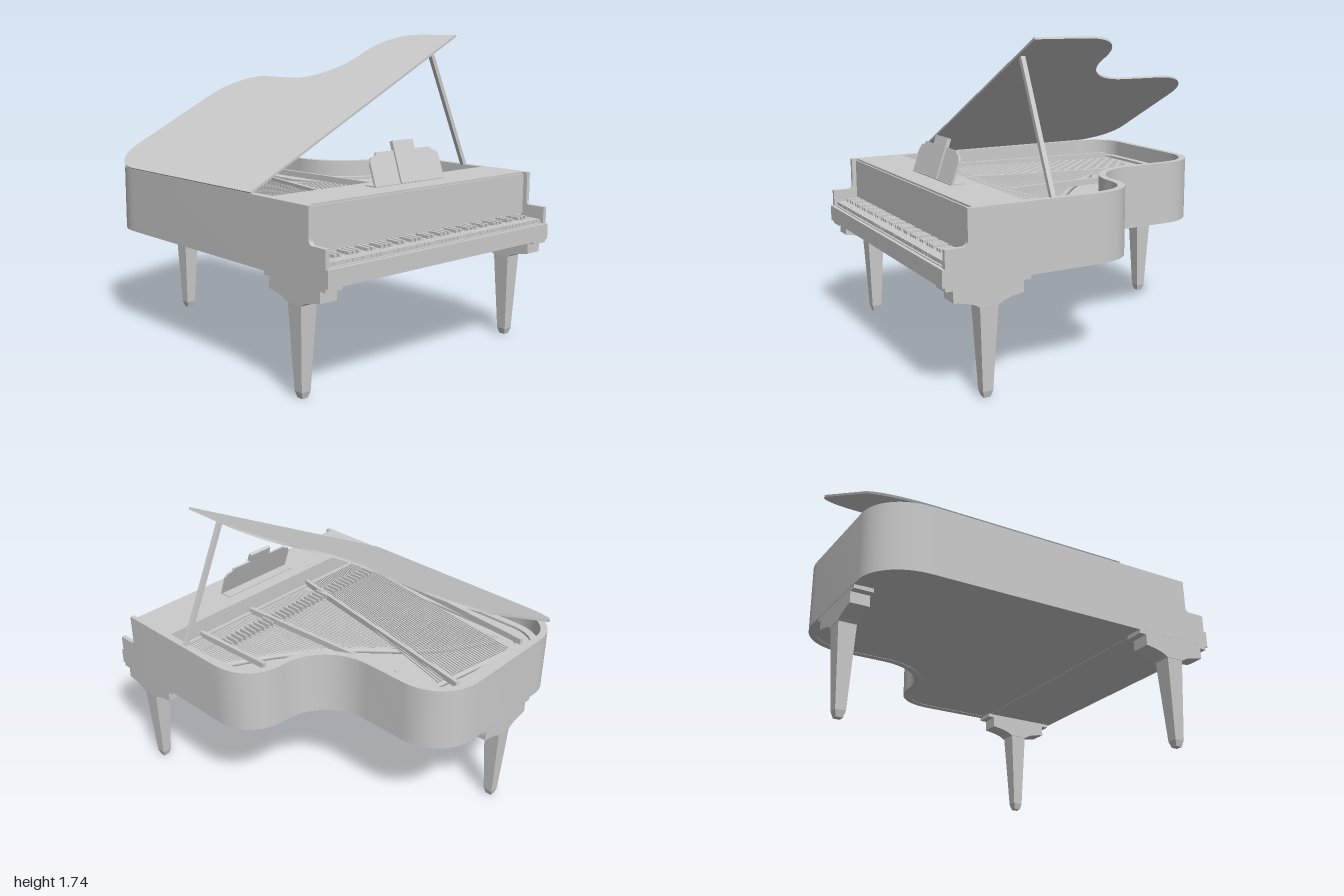
import * as THREE from 'three';
import { mergeGeometries, toCreasedNormals } from 'three/addons/utils/BufferGeometryUtils.js';

const grey = new THREE.MeshStandardMaterial({ color: 0xcccccc });
const V = (x, y, z) => new THREE.Vector3(x, y, z);

function part(parent, name, geometry) {
  const mesh = new THREE.Mesh(geometry, grey);
  mesh.name = name;
  parent.add(mesh);
  return mesh;
}

// Box given by its limits on each axis
function block(x0, x1, y0, y1, z0, z1) {
  return new THREE.BoxGeometry(x1 - x0, y1 - y0, z1 - z0)
    .translate((x0 + x1) / 2, (y0 + y1) / 2, (z0 + z1) / 2);
}

// Square bar between two points
function beam(a, b, w, h = w) {
  const o = new THREE.Object3D();
  o.position.copy(a).lerp(b, 0.5);
  o.lookAt(b);
  o.updateMatrix();
  return new THREE.BoxGeometry(w, h, a.distanceTo(b)).applyMatrix4(o.matrix);
}

// Plan outline of the curved case, drawn as (x, -z), with its front edge at zFront
function outline(zFront) {
  const s = new THREE.Shape();
  s.moveTo(-0.83, -zFront);
  s.lineTo(0.83, -zFront);
  s.lineTo(0.83, -0.13);
  s.bezierCurveTo(0.83, 0.03, 0.74, 0.14, 0.57, 0.14);
  s.bezierCurveTo(0.4, 0.14, 0.26, 0.28, 0.26, 0.46);
  s.lineTo(0.26, 0.72);
  s.bezierCurveTo(0.26, 0.88, 0.14, 1, -0.02, 1);
  s.lineTo(-0.6, 1);
  s.bezierCurveTo(-0.73, 1, -0.83, 0.88, -0.83, 0.72);
  const pts = s.getPoints(16);
  return pts.filter((p, i) => p.distanceTo(pts[(i + 1) % pts.length]) > 1e-5);
}

// Outline moved inward by d, keeping its front edge at zFront
function inset(zFront, d) {
  const pts = outline(zFront + d), n = pts.length;
  const normal = (a, b) => new THREE.Vector2(a.y - b.y, b.x - a.x).normalize();
  return pts.map((p, i) => {
    const n1 = normal(pts[(i + n - 1) % n], p), n2 = normal(p, pts[(i + 1) % n]);
    return p.clone().addScaledVector(n1.clone().add(n2), d / (1 + n1.dot(n2)));
  });
}

// Horizontal slab from plan points with optional holes
function slab(points, y0, y1, holes = []) {
  const s = new THREE.Shape(points);
  s.holes = holes.map(h => new THREE.Path(h));
  const g = new THREE.ExtrudeGeometry(s, { depth: y1 - y0, bevelEnabled: false });
  return toCreasedNormals(g.rotateX(-Math.PI / 2).translate(0, y0, 0), 0.5);
}

// Tapered square leg with a stepped bracket lying along x
function leg(name, x, z, turn) {
  const g = new THREE.Group();
  g.name = name;
  const s = new THREE.Shape();
  s.moveTo(-0.23, 0.605);
  s.lineTo(-0.23, 0.58);
  s.lineTo(-0.19, 0.58);
  s.lineTo(-0.19, 0.52);
  s.quadraticCurveTo(-0.08, 0.505, -0.055, 0.48);
  s.lineTo(0.055, 0.48);
  s.quadraticCurveTo(0.08, 0.505, 0.19, 0.52);
  s.lineTo(0.19, 0.58);
  s.lineTo(0.23, 0.58);
  s.lineTo(0.23, 0.605);
  part(g, 'legBracket', new THREE.ExtrudeGeometry(s, { depth: 0.105, bevelEnabled: false, curveSegments: 6 })
    .translate(0, 0, -0.0525));
  const taper = (top, bottom, y0, y1) =>
    new THREE.CylinderGeometry(top * Math.SQRT2, bottom * Math.SQRT2, y1 - y0, 4).toNonIndexed()
      .rotateY(Math.PI / 4).translate(0, (y0 + y1) / 2, 0);
  for (const [n, ...a] of [['legShaft', 0.05, 0.028, 0.035, 0.49], ['legFoot', 0.028, 0.018, 0, 0.035]]) {
    const shaft = taper(...a);
    shaft.computeVertexNormals();
    part(g, n, shaft);
  }
  g.position.set(x, 0, z);
  g.rotation.y = turn;
  return g;
}

export function createModel() {
  const piano = new THREE.Group();
  piano.name = 'grandPiano';

  // Case
  part(piano, 'caseRim', slab(outline(0.83), 0.6, 0.97, [inset(0.54, 0.04)]));
  part(piano, 'caseFloor', slab(inset(0.55, 0.03), 0.602, 0.63));
  part(piano, 'soundboard', slab(inset(0.55, 0.03), 0.8, 0.82));

  // Cast plate: a belt around the strings pierced by round holes
  const belt = inset(0.54, 0.085);
  const holes = [[0.69, -0.05], [0.61, 0.02], [0.5, 0.05], [0.37, 0.12], [0.26, 0.22], [0.19, 0.33], [0.16, 0.48]]
    .map(([x, y]) => new THREE.Path().absarc(x, y, 0.028, 0, Math.PI * 2, true).getPoints(8).slice(0, -1));
  const window_ = inset(0.42, 0.17);
  part(piano, 'plate', slab(inset(0.535, 0.042), 0.845, 0.86, [window_, ...holes]));
  part(piano, 'plateLip', slab(inset(0.535, 0.042), 0.86, 0.875, [belt.map(p => p.clone().multiplyScalar(1)).map(p =>
    p.y < -0.5 ? new THREE.Vector2(p.x, -0.515) : p)]));

  // Plate struts
  const struts = [[-0.75, 0.53, -0.62, -0.86], [-0.28, 0.53, -0.02, -0.86], [0.2, 0.53, 0.13, -0.55], [0.58, 0.53, 0.56, 0.02]];
  part(piano, 'plateStruts', mergeGeometries(struts.map(([x0, z0, x1, z1]) =>
    beam(V(x0, 0.885, z0), V(x1, 0.885, z1), 0.022, 0.035))));

  // Bridges and strings
  const longBridge = new THREE.CatmullRomCurve3([V(-0.6, 0.835, -0.72), V(-0.25, 0.835, -0.5),
    V(0.08, 0.835, -0.15), V(0.4, 0.835, 0.1), V(0.66, 0.835, 0.24)]);
  const bassBridge = new THREE.LineCurve3(V(-0.52, 0.85, -0.84), V(0.02, 0.85, -0.76));
  part(piano, 'longBridge', new THREE.TubeGeometry(longBridge, 24, 0.018, 6));
  part(piano, 'bassBridge', new THREE.TubeGeometry(bassBridge, 1, 0.018, 6));
  const strings = [];
  for (let i = 0; i < 64; i++) {
    const t = i / 63;
    strings.push(beam(V(-0.22 + 0.92 * t, 0.868, 0.5), longBridge.getPoint(t).setY(0.862), 0.004));
  }
  for (let i = 0; i < 32; i++) {
    const t = i / 31;
    strings.push(beam(V(-0.72 + 0.4 * t, 0.882, 0.5), bassBridge.getPoint(t).setY(0.878), 0.006));
  }
  part(piano, 'strings', mergeGeometries(strings));

  // Dampers
  const dampers = [];
  for (let i = 0; i < 36; i++) {
    const x = -0.68 + i * 0.035;
    dampers.push(block(x - 0.005, x + 0.005, 0.875, 0.905, 0.3, 0.39));
  }
  part(piano, 'dampers', mergeGeometries(dampers));

  // Keyboard
  part(piano, 'keyBed', block(-0.82, 0.82, 0.6, 0.695, 0.8, 0.98));
  part(piano, 'keySlip', block(-0.83, 0.83, 0.6, 0.69, 0.97, 1));
  const white = [], black = [], pitch = 1.6 / 52;
  for (let i = 0; i < 52; i++) {
    const x = -0.8 + i * pitch;
    white.push(block(x + 0.001, x + pitch - 0.001, 0.69, 0.715, 0.82, 0.968));
    // Sharps follow A, C, D, F and G, counting from the lowest A
    if ([0, 2, 3, 5, 6].includes(i % 7) && i < 51) {
      black.push(block(x + pitch - 0.009, x + pitch + 0.009, 0.71, 0.732, 0.82, 0.915));
    }
  }
  part(piano, 'whiteKeys', mergeGeometries(white));
  part(piano, 'blackKeys', mergeGeometries(black));
  part(piano, 'fallboard', block(-0.806, 0.806, 0.735, 0.96, 0.82, 0.84));

  // Cheeks at both ends of the keyboard, in profile (z, y)
  const cheek = new THREE.Shape();
  cheek.moveTo(0.82, 0.6);
  cheek.lineTo(1, 0.6);
  cheek.lineTo(1, 0.69);
  cheek.lineTo(0.985, 0.69);
  cheek.lineTo(0.985, 0.785);
  cheek.lineTo(0.89, 0.785);
  cheek.quadraticCurveTo(0.865, 0.785, 0.865, 0.815);
  cheek.lineTo(0.865, 0.97);
  cheek.lineTo(0.82, 0.97);
  for (const [name, x] of [['leftCheek', 0.83], ['rightCheek', -0.805]]) {
    part(piano, name, new THREE.ExtrudeGeometry(cheek, { depth: 0.025, bevelEnabled: false })
      .rotateY(-Math.PI / 2).scale(1, 1, 1).translate(x, 0, 0));
  }

  // Music desk, leaning back
  const desk = new THREE.Group();
  desk.name = 'musicDesk';
  const wings = new THREE.Shape([[-0.26, 0], [0.26, 0], [0.26, 0.13], [0.245, 0.155], [0.21, 0.165], [0.205, 0.18],
    [-0.205, 0.18], [-0.21, 0.165], [-0.245, 0.155], [-0.26, 0.13]].map(p => new THREE.Vector2(...p)));
  part(desk, 'deskWings', new THREE.ExtrudeGeometry(wings, { depth: 0.012, bevelEnabled: false }));
  part(desk, 'deskCentre', block(-0.078, 0.078, 0, 0.23, 0, 0.022));
  desk.position.set(0.025, 0.97, 0.685);
  desk.rotation.x = -0.33;
  piano.add(desk);
  part(piano, 'deskBase', block(-0.235, 0.285, 0.965, 0.976, 0.62, 0.7));

  // Raised lid, hinged along the right side, and its prop
  const lid = part(piano, 'lid', slab(outline(0.42), 0, 0.012).translate(0.83, 0, 0).scale(1.018, 1, 1));
  lid.position.set(-0.825, 0.967, 0);
  lid.rotation.z = 0.471;
  part(piano, 'lidProp', beam(V(0.805, 0.965, 0.39), V(0.495, 1.64, 0.39), 0.025));

  // Legs
  piano.add(leg('frontLegLeft', 0.777, 0.755, Math.PI / 2));
  piano.add(leg('frontLegRight', -0.777, 0.755, Math.PI / 2));
  piano.add(leg('backLeg', -0.32, -0.945, 0));
  return piano;
}
